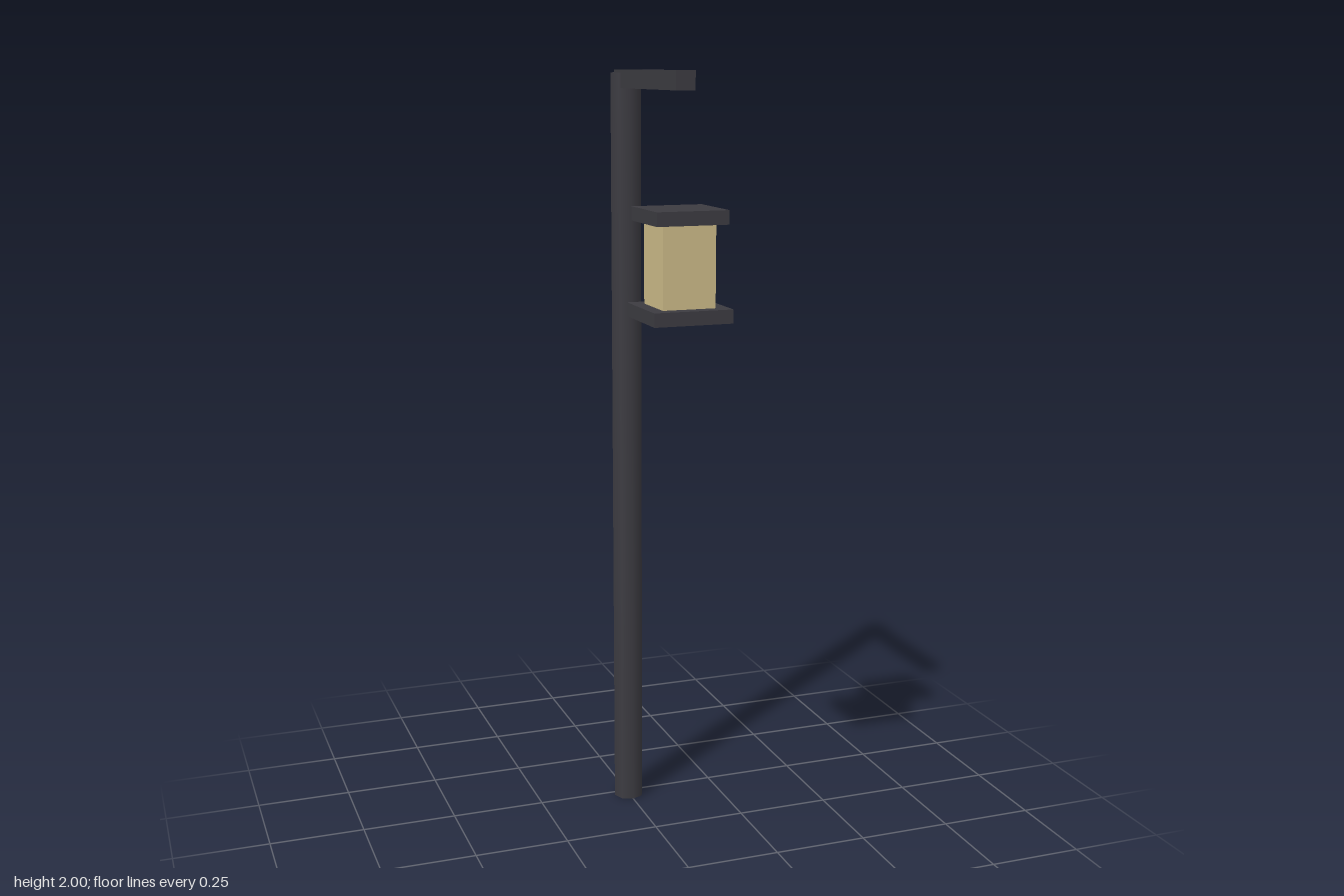
import * as THREE from 'three';

export function createModel() {
  const model = new THREE.Group();
  model.name = 'hangingLanternPost';

  const iron = new THREE.MeshStandardMaterial({ color: 0x3c3b41 });
  iron.name = 'dark iron';
  const glass = new THREE.MeshStandardMaterial({ color: 0xcbba88 });
  glass.name = 'warm glass';

  const add = (name, geometry, material, y, z) => {
    const mesh = new THREE.Mesh(geometry, material);
    mesh.name = name;
    mesh.position.set(0, y, z);
    model.add(mesh);
  };

  // Eight-sided upright post and the square arm reaching forward
  const postHeight = 1.993;
  add('post', new THREE.CylinderGeometry(0.041, 0.041, postHeight, 8), iron, postHeight / 2, -0.23);
  add('arm', new THREE.BoxGeometry(0.049, 0.046, 0.457), iron, 1.977, -0.022);

  // Lantern: base plate, glass body and cap, floating below the arm
  const lanternZ = 0.17;
  const lanternParts = [
    ['lanternBase', 0.2, 1.412, 1.446, iron],
    ['lanternGlass', 0.134, 1.446, 1.646, glass],
    ['lanternCap', 0.182, 1.646, 1.68, iron],
  ];
  for (const [name, width, bottom, top, material] of lanternParts) {
    add(name, new THREE.BoxGeometry(width, top - bottom, width), material, (bottom + top) / 2, lanternZ);
  }

  return model;
}
